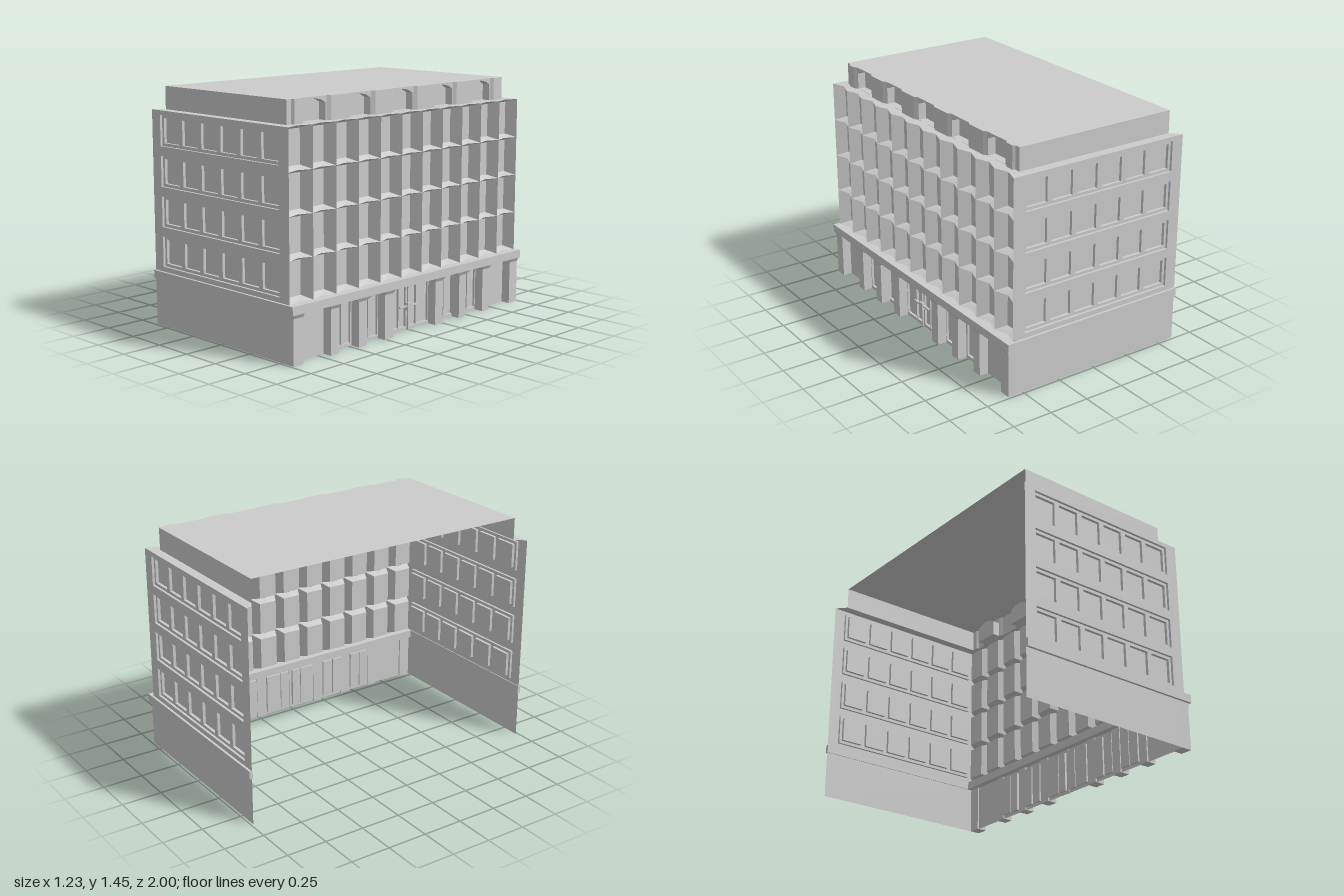
import * as THREE from 'three';

const mat = new THREE.MeshStandardMaterial({ color: 0xcccccc, flatShading: true, side: THREE.DoubleSide });

function add(parent, name, geo) {
  const m = new THREE.Mesh(geo, mat);
  m.name = name;
  parent.add(m);
  return m;
}

function fromTriangles(pts) {
  const g = new THREE.BufferGeometry();
  g.setAttribute('position', new THREE.Float32BufferAttribute(pts.flat(), 3));
  g.computeVertexNormals();
  return g;
}

// band of quads between two rows of points
function bandTris(a, b, closed = true) {
  const t = [];
  for (let i = 0; i < (closed ? a.length : a.length - 1); i++) {
    const j = (i + 1) % a.length;
    t.push(a[i], a[j], b[j], a[i], b[j], b[i]);
  }
  return t;
}

// sunken tray: reveals from an outer to an inner loop, closed by a pane
function tray(outer, inner) {
  const t = bandTris(outer, inner);
  for (let i = 1; i < inner.length - 1; i++) t.push(inner[0], inner[i], inner[i + 1]);
  return fromTriangles(t);
}

const rect = (x0, x1, y0, y1) => [[x0, y0], [x1, y0], [x1, y1], [x0, y1]];
const at = (loop, z) => loop.map(([x, y]) => [x, y, z]);
const level = (path, y) => path.map(([x, z]) => [x, y, z]);
const vec = (loop) => loop.map(([x, y]) => new THREE.Vector2(x, y));

// flat upright sheet with holes
function sheet(outline, holes, z) {
  const s = new THREE.Shape(vec(outline));
  for (const h of holes) s.holes.push(new THREE.Path(vec(h)));
  return new THREE.ShapeGeometry(s).translate(0, 0, z);
}

// flat horizontal sheet facing up
const slab = (path, y) =>
  new THREE.ShapeGeometry(new THREE.Shape(vec(path.map(([x, z]) => [x, -z])))).rotateX(-Math.PI / 2).translate(0, y, 0);

function box(x0, x1, y0, y1, z0, z1) {
  return new THREE.BoxGeometry(x1 - x0, y1 - y0, z1 - z0).translate((x0 + x1) / 2, (y0 + y1) / 2, (z0 + z1) / 2);
}

const BACK = -0.615, HALF = 0.985, FIN = 0.57, MID = 0.54, PANE = 0.5;
const BASE = 0.34, TOP = 1.312, ROOF = 1.45, ROW = (TOP - BASE) / 4, COL = (2 * HALF) / 11;

// long wall with four sunken strips of six windows
function sideWall() {
  const g = new THREE.Group();
  g.name = 'sideWall';
  const strips = [];
  for (let r = 0; r < 4; r++) {
    const y = 0.37 + r * ROW, strip = rect(-0.54, 0.49, y, y + 0.185), panes = [];
    strips.push(strip);
    for (let i = 0; i < 6; i++) {
      const x = -0.54 + i * 0.1717;
      panes.push(rect(x + 0.017, x + 0.155, y + 0.018, y + 0.167));
    }
    add(g, 'stripReveal', fromTriangles(bandTris(at(strip, HALF), at(strip, HALF - 0.015))));
    add(g, 'windowStrip', sheet(strip, panes, HALF - 0.015));
    for (const p of panes) add(g, 'sideWindow', tray(at(p, HALF - 0.015), at(p, HALF - 0.033)));
  }
  add(g, 'upperWall', sheet(rect(BACK, FIN, BASE, TOP), strips, HALF));
  add(g, 'groundWall', sheet(rect(BACK, MID, 0, BASE), [], HALF));
  add(g, 'sideLedge', box(BACK, 0.61, 0.29, BASE, HALF - 0.005, 1));
  return g;
}

// grid of deep cells between pointed fins
function cellGrid(g) {
  for (let r = 0; r < 4; r++) {
    for (let c = 0; c < 11; c++) {
      const x0 = -HALF + c * COL, x1 = x0 + COL, xm = (x0 + x1) / 2, y0 = BASE + r * ROW, y1 = y0 + ROW;
      const outer = [[x0, y0, FIN], [xm, y0, MID], [x1, y0, FIN], [x1, y1, FIN], [xm, y1, MID], [x0, y1, FIN]];
      const a = x0 + 0.031, b = x1 - 0.031, lo = y0 + 0.02, hi = y1 - 0.02;
      add(g, 'windowCell', tray(outer, at([[a, lo], [xm, lo], [b, lo], [b, hi], [xm, hi], [a, hi]], PANE)));
    }
  }
}

// ground floor with doors, glazing and capped piers
function groundFloor(g) {
  const openings = [];
  for (const [a, b] of [[0.016, 0.075], [0.08, 0.182], [0.262, 0.33], [0.342, 0.41], [0.487, 0.555], [0.56, 0.63]]) {
    openings.push(rect(a, b, 0.02, 0.27), rect(-b, -a, 0.02, 0.27));
  }
  add(g, 'groundFront', sheet(rect(-HALF, HALF, 0, 0.3), openings, MID));
  for (const o of openings) add(g, 'groundPane', tray(at(o, MID), at(o, MID - 0.015)));
  const piers = [[0.91, 0.985, 0], [0.636, 0.7, 0.01], [0.41, 0.475, 0.035], [0.187, 0.257, 0.01]];
  for (const s of [-1, 1]) {
    for (const [p, q, flare] of piers) {
      const a = Math.min(s * p, s * q), b = Math.max(s * p, s * q);
      add(g, 'pier', box(a, b, 0, 0.29, MID - 0.01, 0.598));
      const foot = [[a, 0.598], [b, 0.598], [b, MID], [a, MID]];
      const head = [[a - flare, 0.61], [b + flare, 0.61], [b + flare, MID], [a - flare, MID]];
      add(g, 'pierCap', fromTriangles(bandTris(level(foot, 0.268), level(head, 0.29))));
    }
  }
  add(g, 'doorPost', box(-0.005, 0.005, 0, 0.29, MID - 0.005, MID + 0.01));
  add(g, 'doorLock', box(-0.017, 0.017, 0.122, 0.167, MID, MID + 0.02));
  add(g, 'doorHandle', box(-0.08, 0.08, 0.143, 0.153, MID + 0.004, MID + 0.016));
  add(g, 'frontLedge', box(-1, 1, 0.29, BASE, PANE, 0.61));
}

// set-back top storey with arched niches between projecting blocks
function topStorey(g) {
  const path = [[-0.925, -0.56], [-0.925, 0.49], [-0.89, 0.49], [-0.88, 0.505]];
  let section = [...path];
  const wall = () => add(g, 'topWall', fromTriangles(bandTris(level(section, TOP), level(section, ROOF), false)));
  for (let i = 0; i < 5; i++) {
    const c = -0.716 + i * 0.358, w = 0.083;
    const left = [[c - 0.11, 0.505], [c - 0.09, 0.49]], right = [[c + 0.09, 0.49], [c + 0.11, 0.505]];
    section.push(...left);
    wall();
    section = [...right];
    path.push(...left, ...right);
    const arch = [[c - w, TOP + 0.001], [c + w, TOP + 0.001], [c + w, 1.412], [c + 0.045, 1.432],
      [c, 1.441], [c - 0.045, 1.432], [c - w, 1.412]];
    add(g, 'archFront', sheet(rect(c - 0.09, c + 0.09, TOP, ROOF), [arch], 0.49));
    add(g, 'archNiche', tray(at(arch, 0.49), at(arch, 0.44)));
  }
  const end = [[0.88, 0.505], [0.89, 0.49], [0.925, 0.49], [0.925, -0.56]];
  section.push(...end);
  path.push(...end);
  wall();
  add(g, 'roof', slab(path, ROOF));

  // terrace around the top storey, following the fins
  const rim = [[-HALF, BACK]];
  for (let i = 0; i <= 22; i++) rim.push([-HALF + (i * COL) / 2, i % 2 ? MID : FIN]);
  rim.push([HALF, BACK]);
  add(g, 'terrace', slab([...rim, ...path.reverse()], TOP));
}

export function createModel() {
  const model = new THREE.Group();
  model.name = 'building';
  const near = sideWall(), far = sideWall();
  far.scale.z = -1;
  model.add(near, far);

  // street facade is built facing +z, then turned to +x
  const facade = new THREE.Group();
  facade.name = 'streetFacade';
  cellGrid(facade);
  groundFloor(facade);
  topStorey(facade);
  facade.rotation.y = Math.PI / 2;
  model.add(facade);
  return model;
}
